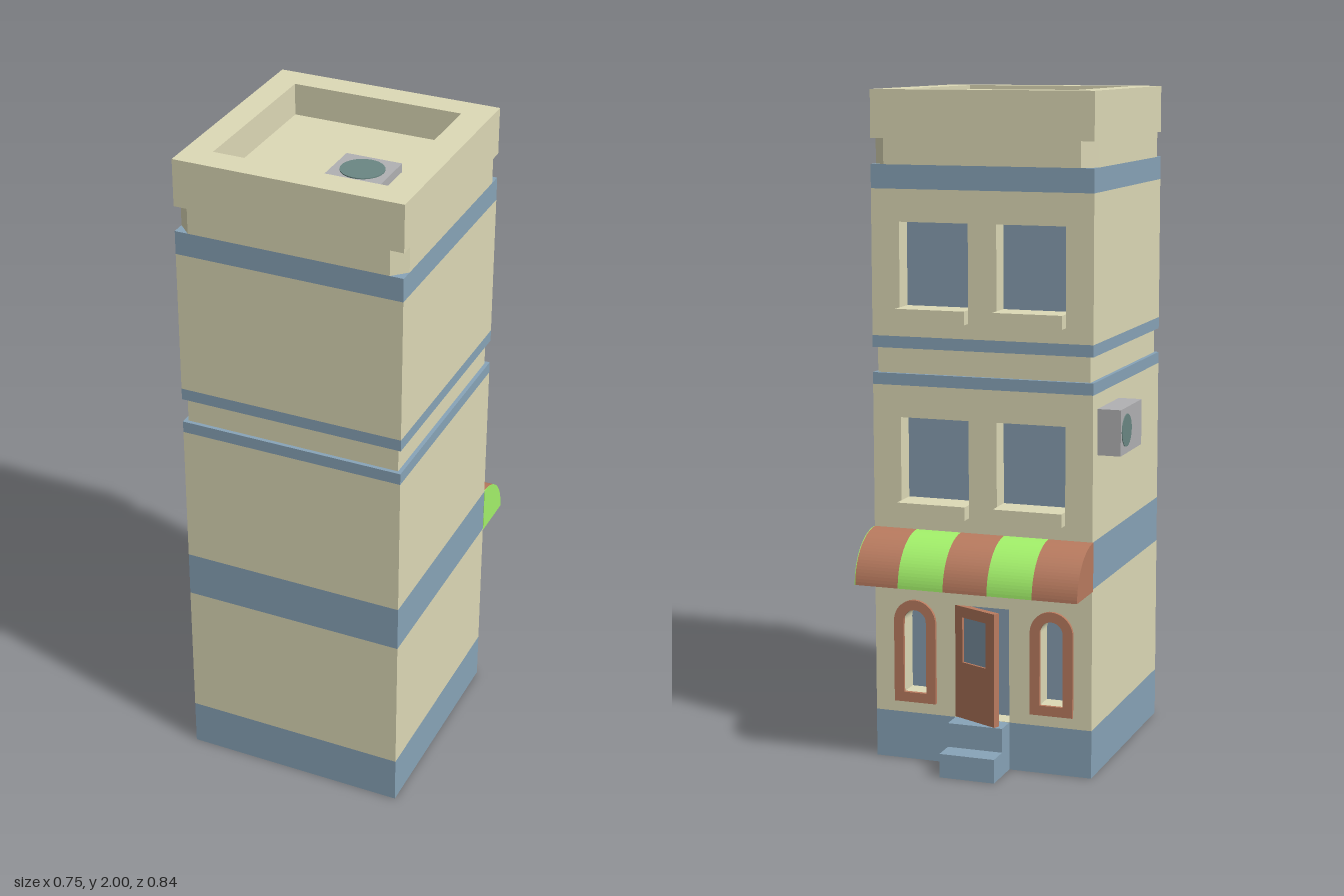
import * as THREE from 'three';

const mat = (color) => new THREE.MeshStandardMaterial({ color });
const cream = mat(0xddd9b6), blue = mat(0x88a4b8), brown = mat(0xb97b5f), green = mat(0xa3f16a);
const glass = mat(0x869db0), metal = mat(0xb1b1b3), fan = mat(0x6a8783);

// Outline of the tower, facade plane (back, -z) and recess plane for the glass
const X0 = -0.305, X1 = 0.375, Z0 = -0.265, Z1 = 0.42, ZG = -0.2;

function rect(x0, y0, x1, y1, Type = THREE.Shape) {
  const s = new Type();
  s.moveTo(x0, y0).lineTo(x1, y0).lineTo(x1, y1).lineTo(x0, y1).closePath();
  return s;
}

function arch(cx, y0, y1, r, Type = THREE.Path) {
  const s = new Type();
  s.moveTo(cx - r, y0).lineTo(cx + r, y0).lineTo(cx + r, y1 - r);
  s.absarc(cx, y1 - r, r, 0, Math.PI, false);
  return s.closePath();
}

const extrude = (shape, depth) =>
  new THREE.ExtrudeGeometry(shape, { depth, bevelEnabled: false, curveSegments: 12 });

export function createModel() {
  const model = new THREE.Group();

  const add = (name, geometry, material, parent = model) => {
    const mesh = new THREE.Mesh(geometry, material);
    mesh.name = name;
    parent.add(mesh);
    return mesh;
  };
  const box = (name, x0, x1, y0, y1, z0, z1, material) =>
    add(name, new THREE.BoxGeometry(x1 - x0, y1 - y0, z1 - z0), material)
      .position.set((x0 + x1) / 2, (y0 + y1) / 2, (z0 + z1) / 2);
  const slab = (name, y0, y1, material, inset = 0) =>
    box(name, X0 + inset, X1 - inset, y0, y1, Z0 + inset, Z1 - inset, material);
  // Storey: solid core plus a facade wall with openings
  const storey = (name, y0, y1, holes) => {
    box(name + 'Core', X0, X1, y0, y1, ZG, Z1, cream);
    const shape = rect(X0, y0, X1, y1);
    shape.holes.push(...holes);
    add(name + 'Facade', extrude(shape, ZG - Z0), cream).position.z = Z0;
  };
  // Horizontal plan (x, -z) extruded upwards
  const plan = (name, shape, y0, y1, material) => {
    const g = extrude(shape, y1 - y0);
    g.rotateX(-Math.PI / 2);
    add(name, g, material).position.y = y0;
  };
  const pane = (name, x0, x1, y0, y1) => box(name, x0, x1, y0, y1, ZG - 0.004, ZG, glass);

  // Blue bands and the recessed string course
  slab('baseBand', 0, 0.145, blue);
  slab('awningBand', 0.57, 0.71, blue);
  slab('lowerCourse', 1.14, 1.175, blue);
  slab('recessedCourse', 1.175, 1.25, cream, 0.012);
  slab('upperCourse', 1.25, 1.285, blue);
  slab('topBand', 1.715, 1.785, blue);

  // Ground floor with door opening and arched windows
  const archX = [-0.183, 0.246], doorX = [-0.05, 0.12];
  storey('groundFloor', 0.145, 0.57, [
    ...archX.map((x) => arch(x, 0.21, 0.465, 0.036)),
    rect(doorX[0], 0.146, doorX[1], 0.49, THREE.Path),
  ]);
  pane('doorwayGlass', doorX[0], doorX[1], 0.146, 0.49);
  for (const x of archX) {
    const frame = arch(x, 0.18, 0.495, 0.066, THREE.Shape);
    frame.holes.push(arch(x, 0.21, 0.465, 0.036));
    add('archedWindowFrame', extrude(frame, 0.012), brown).position.z = Z0 - 0.01;
    pane('archedWindowGlass', x - 0.036, x + 0.036, 0.21, 0.465);
  }

  // Upper floors with two windows and sills each
  const windowX = [[-0.222, -0.012], [0.075, 0.288]];
  for (const [name, y0, y1, sill] of [['middleFloor', 0.71, 1.14, 0.795], ['upperFloor', 1.285, 1.715, 1.37]]) {
    const top = sill + 0.25;
    storey(name, y0, y1, windowX.map(([a, b]) => rect(a, sill, b, top, THREE.Path)));
    for (const [a, b] of windowX) {
      pane('windowGlass', a, b, sill, top);
      box('windowSill', a, b, sill - 0.04, sill, Z0 - 0.035, Z0, cream);
    }
  }

  // Chamfered corners below the parapet
  const c = 0.04, n = -Z1, f = -Z0;
  const octagon = new THREE.Shape([
    [X0 + c, n], [X1 - c, n], [X1, n + c], [X1, f - c],
    [X1 - c, f], [X0 + c, f], [X0, f - c], [X0, n + c],
  ].map(([x, y]) => new THREE.Vector2(x, y)));
  plan('chamferedBand', octagon, 1.785, 1.86, cream);

  // Sunken roof and parapet
  slab('roof', 1.86, 1.905, cream);
  const parapet = rect(X0, n, X1, f);
  parapet.holes.push(rect(-0.225, -0.333, 0.29, 0.183, THREE.Path));
  plan('parapet', parapet, 1.905, 2, cream);

  // Roof fan unit and wall air conditioner
  box('roofUnit', 0.075, 0.24, 1.905, 1.965, 0.12, 0.282, metal);
  add('roofFan', new THREE.CylinderGeometry(0.062, 0.062, 0.004, 32), fan).position.set(0.158, 1.966, 0.2);
  box('airConditioner', -0.375, X0, 0.96, 1.095, -0.222, -0.01, metal);
  const wallFan = add('airConditionerFan', new THREE.CylinderGeometry(0.048, 0.048, 0.004, 32), fan);
  wallFan.rotation.z = Math.PI / 2;
  wallFan.position.set(-0.375, 1.028, -0.165);

  // Striped quarter-round awning
  const quarter = new THREE.Shape();
  quarter.moveTo(0, 0).lineTo(0.153, 0);
  quarter.absellipse(0, 0, 0.153, 0.145, 0, Math.PI / 2, false, 0);
  quarter.closePath();
  const stripe = (name, x0, x1, material) => {
    const g = extrude(quarter, x1 - x0);
    g.rotateY(Math.PI / 2);
    add(name, g, material).position.set(x0, 0.566, Z0);
  };
  const edges = [-0.308, -0.172, -0.035, 0.1, 0.24, 0.374];
  for (let i = 0; i < 5; i++) stripe('awningStripe', edges[i], edges[i + 1], i % 2 ? green : brown);
  stripe('awningEnd', 0.374, 0.376, green);

  // Door standing ajar
  const door = new THREE.Group();
  door.name = 'door';
  door.position.set(doorX[1], 0.147, Z0);
  door.rotation.y = Math.PI - 0.44;
  const panel = rect(0, 0, 0.163, 0.343);
  panel.holes.push(rect(0.03, 0.173, 0.128, 0.31, THREE.Path));
  add('doorPanel', extrude(panel, 0.02), brown, door).position.z = -0.02;
  add('doorGlass', new THREE.BoxGeometry(0.098, 0.137, 0.006), glass, door).position.set(0.079, 0.2415, -0.01);
  model.add(door);

  // Entrance steps
  box('upperStep', doorX[0], doorX[1], 0, 0.145, -0.33, Z0, blue);
  box('lowerStep', doorX[0], doorX[1], 0, 0.072, -0.4, -0.33, blue);

  return model;
}
